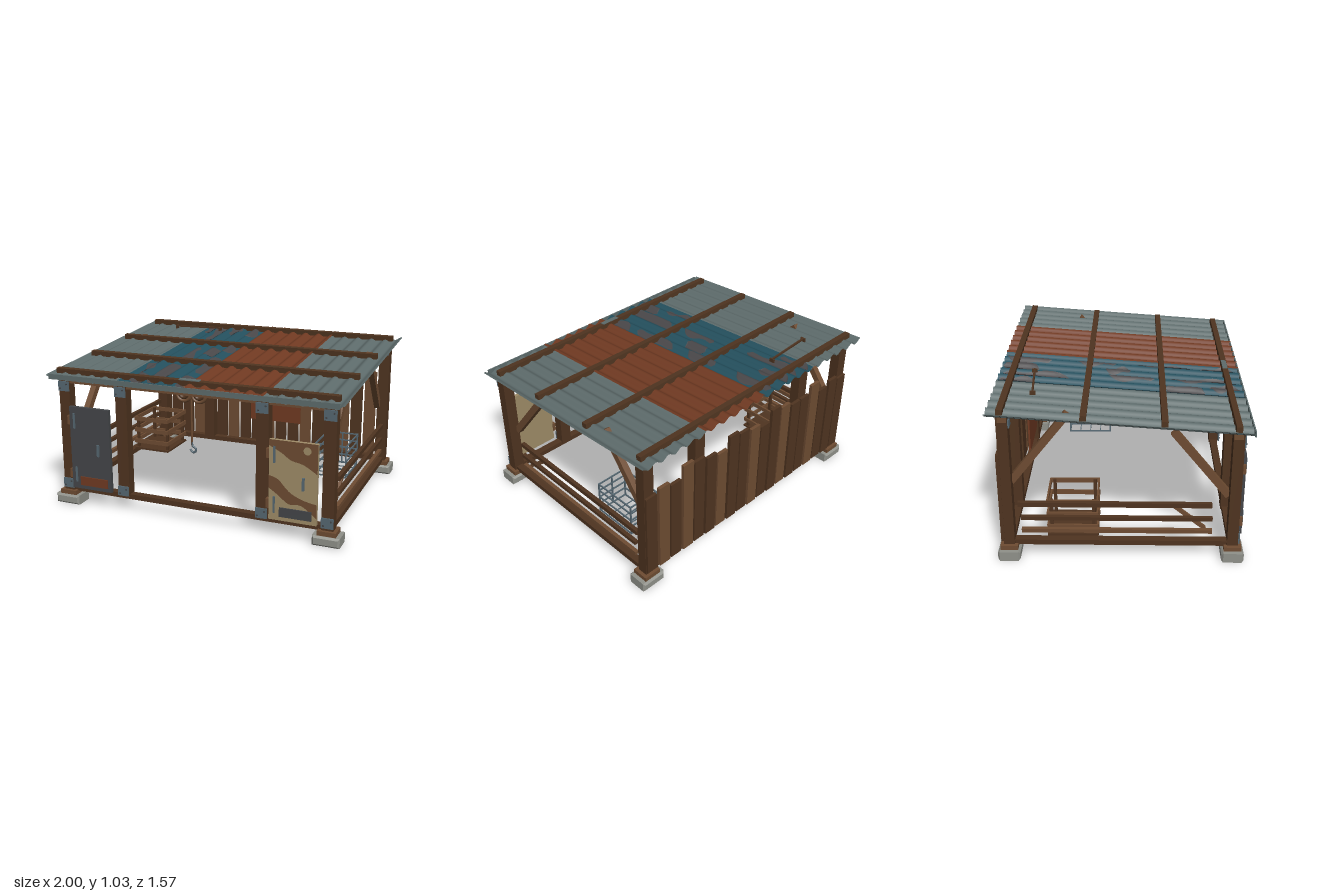
import * as THREE from 'three';

const mat = (name, color, side = THREE.FrontSide) => {
  const m = new THREE.MeshStandardMaterial({ color, side });
  m.name = name;
  return m;
};

export function createModel() {
  const dark = mat('dark wood', 0x4f3420), mid = mat('mid wood', 0x6e4c32);
  const sheet = mat('grey sheet metal', 0x5e6c6c, THREE.DoubleSide);
  const teal = mat('teal paint', 0x24505e, THREE.DoubleSide);
  const rust = mat('rust', 0x713a22, THREE.DoubleSide);
  const worn = mat('worn patch', 0x4a484a, THREE.DoubleSide);
  const charcoal = mat('charcoal metal', 0x444649), tan = mat('tan paint', 0x9f8c68);
  const concrete = mat('concrete', 0x90918a), steel = mat('steel', 0x566872);

  const root = new THREE.Group();
  const add = (name, geo, m, parent = root) => {
    const mesh = new THREE.Mesh(geo, m);
    mesh.name = name;
    parent.add(mesh);
    return mesh;
  };
  const box = (name, m, w, h, d, x, y, z, parent = root) => {
    const b = add(name, new THREE.BoxGeometry(w, h, d), m, parent);
    b.position.set(x, y, z);
    return b;
  };
  // Square timber running from point a to point b
  const beam = (name, m, a, b, w, h = w) => {
    const p = new THREE.Vector3(...a), q = new THREE.Vector3(...b);
    const g = add(name, new THREE.BoxGeometry(w, h, p.distanceTo(q)), m);
    g.position.copy(p).add(q).multiplyScalar(0.5);
    g.lookAt(q);
    return g;
  };
  const roofY = z => 0.942 - 0.073 * z;
  const slope = Math.atan(0.073);

  // Footings, pads and corner posts
  for (const x of [-0.905, 0.905]) for (const z of [-0.694, 0.694]) {
    const foot = new THREE.Shape([[-0.075, 0], [0.075, 0], [0.075, 0.04], [-0.075, 0.04]].map(p => new THREE.Vector2(...p)));
    const fg = new THREE.ExtrudeGeometry(foot, { depth: 0.116, bevelSize: 0.012, bevelThickness: 0.012, bevelSegments: 1 });
    add('footing', fg, concrete).position.set(x, 0.012, z - 0.058);
    box('footingPad', mid, 0.12, 0.03, 0.11, x, 0.078, z);
    const top = roofY(z) - 0.015;
    box('cornerPost', dark, 0.075, top - 0.09, 0.068, x, (top + 0.09) / 2, z);
  }
  // Inner posts
  for (const x of [-0.485, 0.483]) for (const z of [-0.69, 0.69]) {
    const top = roofY(z) - 0.02;
    box('innerPost', dark, 0.08, top - 0.1, 0.066, x, (top + 0.1) / 2, z);
  }
  // Steel post brackets with bolts
  const bolt = new THREE.CylinderGeometry(0.006, 0.006, 0.008, 6).rotateX(Math.PI / 2);
  for (const x of [-0.905, -0.485, 0.483, 0.905]) {
    for (const y of [0.142, 0.815]) {
      box('postBracket', steel, 0.078, 0.066, 0.009, x, y, 0.732);
      for (const s of [-1, 1]) add('bracketBolt', bolt, charcoal).position.set(x + s * 0.024, y + s * 0.015, 0.739);
    }
    box('rearBracket', steel, 0.06, 0.05, 0.009, x, 0.92, -0.655);
  }
  // Sills and top plates
  for (const z of [-0.69, 0.69]) {
    box('sill', dark, 1.74, 0.034, 0.05, 0, 0.102, z);
    box('topPlate', mid, 1.88, 0.04, 0.055, -0.005, roofY(z) - 0.037, z);
  }
  // Side walls: sill, rails and braces
  for (const s of [-1, 1]) {
    box('sideSill', dark, 0.05, 0.034, 1.32, s * 0.905, 0.1, 0);
    box('upperRail', dark, 0.026, 0.03, 1.19, s * 0.915, 0.37, -0.037);
    box('middleRail', dark, 0.026, 0.025, 1.18, s * 0.915, 0.272, -0.025);
    box('lowerRail', mid, 0.026, 0.025, 1.18, s * 0.915, 0.183, -0.025);
    beam('railBrace', mid, [s * 0.89, 0.19, 0.52], [s * 0.89, 0.355, 0.32], 0.02, 0.024);
    beam('frontBrace', mid, [s * 0.87, 0.42, 0.66], [s * 0.87, 0.85, 0.315], 0.04, 0.046);
    beam('rearBrace', mid, [s * 0.87, 0.51, -0.67], [s * 0.87, 0.965, -0.315], 0.04, 0.046);
  }
  // Back wall boards of uneven height
  const tops = [0.72, 0.745, 0.71, 0.8, 0.74, 0.745, 0.77, 0.8, 0.715, 0.75, 0.77, 0.8, 0.715, 0.745, 0.77, 0.8, 0.71, 0.745, 0.72];
  tops.forEach((t, i) => {
    const m = [3, 6, 9, 12, 15, 17].includes(i) ? mid : dark;
    box('backBoard', m, 0.084, t - 0.115, 0.022, -0.902 + i * 0.1, (t + 0.115) / 2, -0.733 - (i % 2) * 0.004);
  });
  box('rustPanel', rust, 0.405, 0.275, 0.012, 0.08, 0.445, -0.651);

  // Corrugated sheets: a flat grid bent over the waves
  const ripple = (geo, lift) => {
    const p = geo.attributes.position;
    for (let i = 0; i < p.count; i++) {
      const x = p.getX(i), z = p.getZ(i);
      p.setY(i, roofY(z) + lift + 0.013 * Math.cos(x * Math.PI * 20));
    }
    geo.computeVertexNormals();
    return geo;
  };
  const panel = (name, m, x0, x1, lift) => {
    for (const under of [0, 0.006]) {
      const g = new THREE.PlaneGeometry(x1 - x0, 1.572, Math.round((x1 - x0) * 80), 1).rotateX(-Math.PI / 2);
      g.translate((x0 + x1) / 2, 0, 0);
      add(name, ripple(g, lift - under), m);
    }
  };
  panel('leftRoofSheet', sheet, -1, -0.47, 0);
  panel('tealRoofSheet', teal, -0.485, 0, 0.004);
  panel('rustRoofSheet', rust, -0.015, 0.505, 0.008);
  panel('rightRoofSheet', sheet, 0.5, 1, 0);
  // Worn patches on the teal sheet: x, z, width, length
  const patches = [[-0.45, -0.66, 0.06, 0.24], [-0.35, -0.55, 0.07, 0.44], [-0.24, -0.66, 0.09, 0.24], [-0.1, -0.62, 0.08, 0.3],
    [-0.3, 0.06, 0.06, 0.3], [-0.18, -0.03, 0.1, 0.18], [-0.09, -0.17, 0.07, 0.26], [-0.07, 0.27, 0.06, 0.38],
    [-0.43, 0.4, 0.07, 0.26], [-0.27, 0.52, 0.08, 0.44], [-0.37, 0.66, 0.1, 0.2], [-0.06, 0.64, 0.07, 0.24]];
  for (const [cx, cz, w, l] of patches) {
    const g = new THREE.PlaneGeometry(w, l, 8, 12).rotateX(-Math.PI / 2);
    const p = g.attributes.position;
    for (let i = 0; i < p.count; i++) {
      const v = 2 * p.getZ(i) / l;
      p.setX(i, p.getX(i) * Math.sqrt(Math.max(0, 1 - v ** 4)) + 0.012 * Math.sin(v * 4));
    }
    add('wornPatch', ripple(g.translate(cx, 0, cz), 0.008), worn);
  }
  // Roof battens, front flashing and loose items on the roof
  for (const z of [0.688, 0.257, -0.218, -0.7])
    box('roofBatten', dark, 1.92, 0.034, 0.038, -0.01, roofY(z) + 0.019, z).rotation.x = slope;
  box('frontFlashing', sheet, 1.95, 0.034, 0.008, -0.005, 0.886, 0.782);
  box('battenPlate', sheet, 0.14, 0.005, 0.034, -0.01, roofY(0.688) + 0.038, 0.688).rotation.x = slope;
  beam('roofBar', dark, [-0.7, 1.022, -0.535], [-0.34, 1.024, -0.56], 0.012);
  for (const [x, z] of [[-0.695, -0.535], [-0.345, -0.56]]) box('roofBarEnd', dark, 0.012, 0.024, 0.036, x, 1.016, z);

  // Doors: slab, kick plate, handle and hinges
  const door = (name, m, plate, x0, x1, h) => {
    const g = new THREE.Group();
    g.name = name;
    root.add(g);
    const w = x1 - x0, cx = (x0 + x1) / 2;
    box('doorSlab', m, w, h, 0.024, cx, 0.125 + h / 2, 0.746, g);
    box('kickPlate', plate, 0.205, 0.06, 0.008, cx + 0.02, 0.182, 0.762, g);
    box('handle', steel, 0.014, 0.08, 0.014, x1 - 0.085, 0.11 + h * 0.53, 0.766, g);
    for (const y of [0.225, 0.075 + h * 0.92]) {
      box('hingeStrap', steel, 0.012, 0.105, 0.008, x0 + 0.035, y, 0.762, g);
      box('hingeBlock', mid, 0.022, 0.06, 0.03, x0 - 0.008, y, 0.742, g);
    }
    return g;
  };
  door('leftDoor', charcoal, rust, -0.855, -0.56, 0.565);
  const camo = door('rightDoor', tan, charcoal, 0.54, 0.845, 0.512);
  // Wavy camouflage bands on the right door
  const band = (...loops) => {
    const [upper, lower] = loops.map(l => new THREE.SplineCurve(l.map(p => new THREE.Vector2(...p))).getPoints(16));
    const s = new THREE.Shape([...lower, ...upper.reverse()]);
    add('camouflageBand', new THREE.ShapeGeometry(s), mid, camo).position.z = 0.7595;
  };
  band([[0.54, 0.637], [0.69, 0.637], [0.845, 0.637]], [[0.54, 0.6], [0.62, 0.56], [0.68, 0.52], [0.76, 0.5], [0.845, 0.45]]);
  band([[0.54, 0.41], [0.6, 0.39], [0.67, 0.32], [0.75, 0.28], [0.845, 0.26]], [[0.54, 0.33], [0.6, 0.29], [0.67, 0.24], [0.75, 0.24], [0.845, 0.17]]);
  const spot = add('camouflageSpot', new THREE.CircleGeometry(0.025, 12), tan, camo);
  spot.position.set(0.78, 0.59, 0.7605);

  // Hanging rope, hook and coils under the front beam
  const rope = add('rope', new THREE.CylinderGeometry(0.007, 0.007, 0.36, 8), mid);
  rope.position.set(0, 0.69, 0.69);
  const hookPath = new THREE.CatmullRomCurve3([[0, 0.53], [0.004, 0.505], [0.026, 0.49], [0.022, 0.468], [0.004, 0.463], [-0.012, 0.482]]
    .map(([x, y]) => new THREE.Vector3(x, y, 0.69)));
  add('hook', new THREE.TubeGeometry(hookPath, 24, 0.007, 8), steel);
  for (const x of [-0.052, 0.052]) for (const [r, m] of [[0.046, mid], [0.026, dark]])
    add('ropeCoil', new THREE.TorusGeometry(r, 0.012, 8, 24), m).position.set(x, 0.84, 0.69);

  // Wire basket by the right wall
  const [bx0, bx1, bz0, bz1] = [0.57, 0.79, -0.42, -0.108];
  for (const y of [0.125, 0.186, 0.24, 0.297, 0.35]) {
    for (const x of [bx0, bx1]) box('basketWire', steel, 0.008, 0.009, bz1 - bz0, x, y, (bz0 + bz1) / 2);
    for (const z of [bz0, bz1]) box('basketWire', steel, bx1 - bx0, 0.009, 0.008, (bx0 + bx1) / 2, y, z);
  }
  for (const x of [bx0, (bx0 + bx1) / 2, bx1]) for (const z of [bz0, bz1])
    box('basketUpright', steel, 0.009, 0.234, 0.009, x, 0.238, z);
  for (let i = 1; i < 4; i++) box('basketFloorWire', steel, bx1 - bx0, 0.006, 0.006, 0.68, 0.123, bz0 + i * 0.078);

  // Slatted crate by the left wall
  box('crateFloor', dark, 0.28, 0.014, 0.32, -0.74, 0.124, -0.3);
  for (const y of [0.183, 0.272, 0.36]) {
    for (const x of [-0.875, -0.605]) box('crateSlat', mid, 0.012, 0.03, 0.32, x, y, -0.3);
    for (const z of [-0.455, -0.145]) box('crateSlat', mid, 0.28, 0.03, 0.012, -0.74, y, z);
  }
  for (const x of [-0.863, -0.617]) for (const z of [-0.43, -0.17])
    box('cratePost', dark, 0.018, 0.25, 0.02, x, 0.247, z);

  return root;
}
